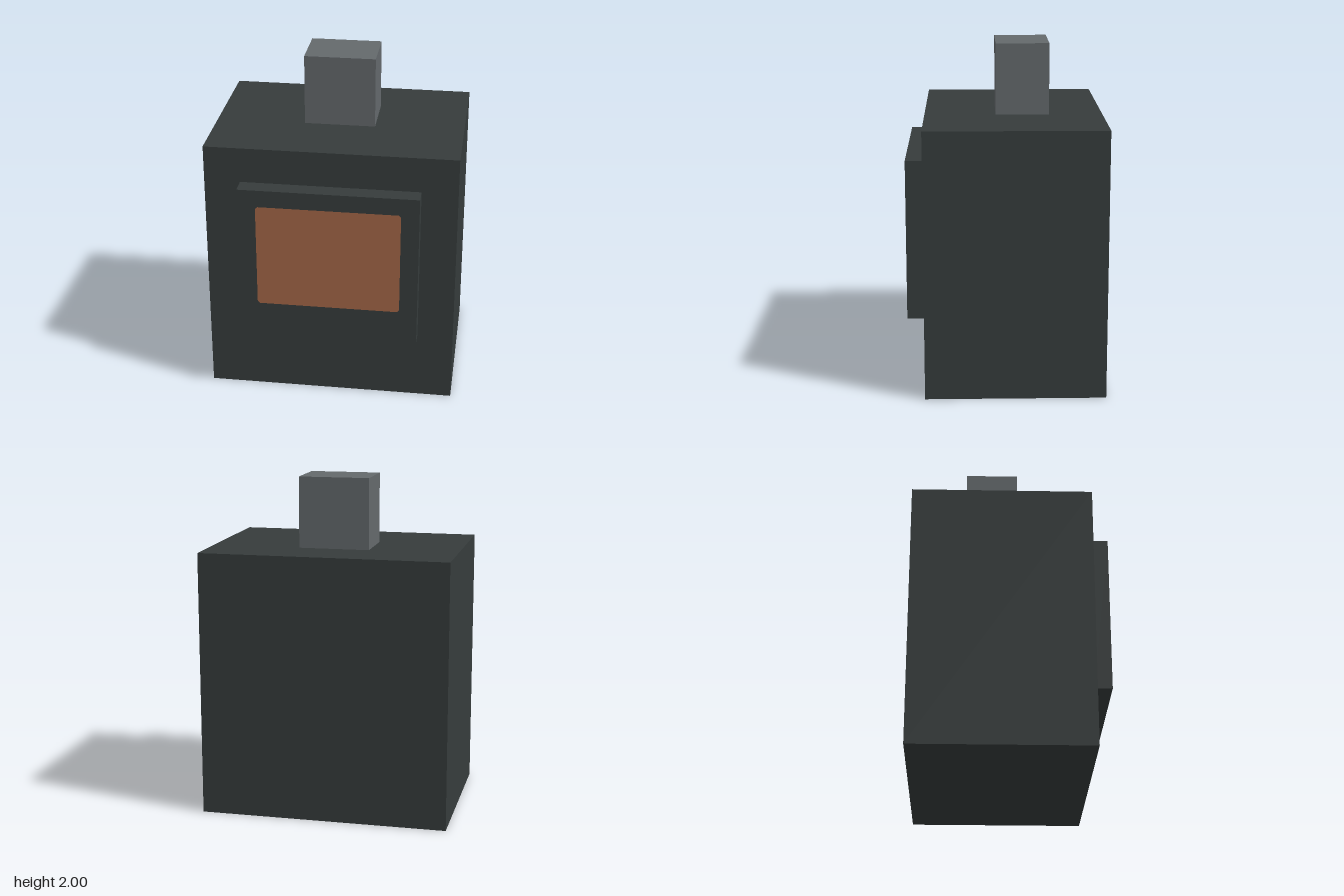
import * as THREE from 'three';

function material(name, color) {
  const m = new THREE.MeshStandardMaterial({ color });
  m.name = name;
  return m;
}

export function createModel() {
  const group = new THREE.Group();
  group.name = 'stove';
  const iron = material('dark iron', 0x363c3c);
  const steel = material('grey steel', 0x64696c);
  const glow = material('ember orange', 0xa46748);

  // Box from its extents; every part is symmetric about x = 0
  function box(name, halfWidth, y0, y1, z0, z1, mat) {
    const mesh = new THREE.Mesh(new THREE.BoxGeometry(2 * halfWidth, y1 - y0, z1 - z0), mat);
    mesh.position.set(0, (y0 + y1) / 2, (z0 + z1) / 2);
    mesh.name = name;
    group.add(mesh);
  }

  box('body', 0.737, 0, 1.579, -0.579, 0.474, iron);
  box('door', 0.526, 0.421, 1.368, 0.474, 0.579, iron);
  box('flue', 0.21, 1.579, 2, -0.263, 0.053, steel);

  // Fire window: thin face with small clipped corners
  const w = 0.421, h = 0.317, c = 0.013;
  const outline = new THREE.Shape([
    [-w + c, -h], [w - c, -h], [w, -h + c], [w, h - c],
    [w - c, h], [-w + c, h], [-w, h - c], [-w, -h + c],
  ].map(([x, y]) => new THREE.Vector2(x, y)));
  const pane = new THREE.Mesh(new THREE.ShapeGeometry(outline), glow);
  pane.position.set(0, 0.948, 0.581);
  pane.name = 'fireWindow';
  group.add(pane);

  return group;
}
